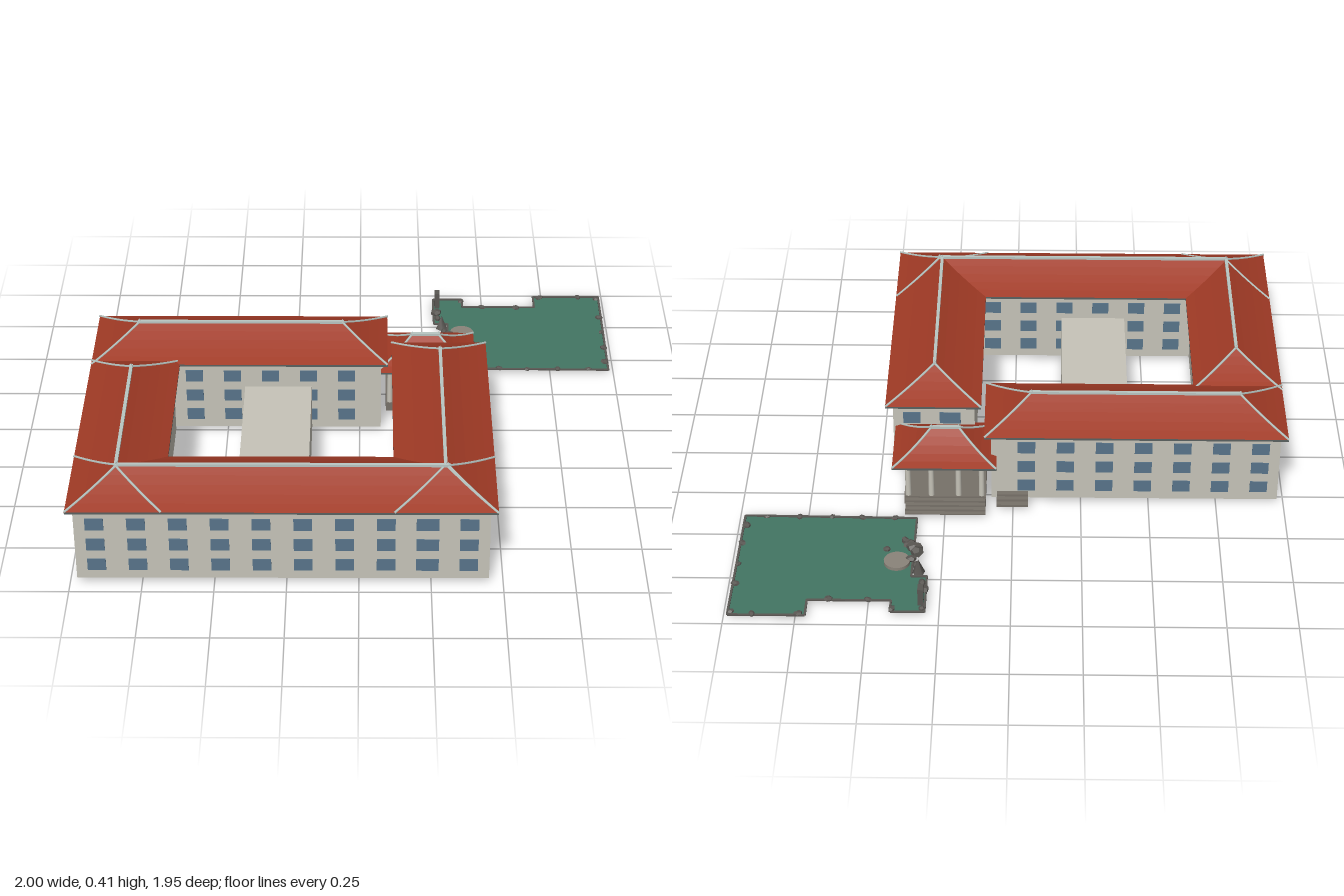
import * as THREE from 'three';

const mat = (name, color, side = THREE.FrontSide) => {
  const m = new THREE.MeshStandardMaterial({ color, side });
  m.name = name;
  return m;
};

export function createModel() {
  const M = {
    wall: mat('plaster', 0xc6c3b8, THREE.DoubleSide),
    roof: mat('redTiles', 0xa03a25, THREE.DoubleSide),
    ridge: mat('paleRidge', 0xb9c6c2),
    eave: mat('eaveTrim', 0x59605f),
    glass: mat('windowGlass', 0x58748a),
    stone: mat('paving', 0x777169),
    green: mat('lawn', 0x437563, THREE.DoubleSide),
    rock: mat('rock', 0x5a5753),
    disc: mat('tableStone', 0x8a847a),
  };
  const root = new THREE.Group();
  root.name = 'courtyardBuilding';

  const add = (parent, name, geo, material, x = 0, y = 0, z = 0) => {
    const m = new THREE.Mesh(geo, material);
    m.name = name;
    m.position.set(x, y, z);
    parent.add(m);
    return m;
  };
  // box given by its limits
  const box = (parent, name, material, x0, x1, y0, y1, z0, z1) =>
    add(parent, name, new THREE.BoxGeometry(x1 - x0, y1 - y0, z1 - z0), material,
      (x0 + x1) / 2, (y0 + y1) / 2, (z0 + z1) / 2);

  // concave hip roof over a rectangle, with ridge, hips and eave trim
  function hipRoof(name, x0, x1, z0, z1, y0, y1, inset, curve = 0.25) {
    const g = new THREE.Group();
    g.name = name;
    root.add(g);
    const cx = (x0 + x1) / 2, cz = (z0 + z1) / 2, hx = (x1 - x0) / 2, hz = (z1 - z0) / 2;
    const alongX = hx > hz, N = 5;
    const ix = alongX ? inset : hx, iz = alongX ? hz : inset;
    const at = (i, t) => {
      const sx = [-1, 1, 1, -1][i], sz = [1, 1, -1, -1][i];
      const h = t * (1 - curve) + t * t * curve;
      return new THREE.Vector3(cx + sx * (hx - ix * t), y0 + (y1 - y0) * h, cz + sz * (hz - iz * t));
    };
    const pos = [];
    for (let i = 0; i < 4; i++) {
      for (let k = 0; k < N; k++) {
        const j = (i + 1) % 4;
        const a = at(i, k / N), b = at(j, k / N), c = at(j, (k + 1) / N), d = at(i, (k + 1) / N);
        for (const v of [a, b, c, a, c, d]) pos.push(v.x, v.y, v.z);
      }
    }
    const geo = new THREE.BufferGeometry();
    geo.setAttribute('position', new THREE.Float32BufferAttribute(pos, 3));
    geo.computeVertexNormals();
    add(g, 'tiles', geo, M.roof);
    for (let i = 0; i < 4; i++) {
      const pts = [];
      for (let k = 0; k <= N; k++) pts.push(at(i, k / N));
      add(g, 'hipRib', new THREE.TubeGeometry(new THREE.CatmullRomCurve3(pts), 8, 0.005, 5), M.ridge);
    }
    const a = at(0, 1), c = at(2, 1), w = 0.006;
    box(g, 'ridgeCap', M.ridge, a.x - w, c.x + w, y1 - 0.006, y1 + 0.006, c.z - w, a.z + w);
    for (const p of [a, c]) add(g, 'finial', new THREE.ConeGeometry(0.007, 0.014, 5), M.ridge, p.x, y1 + 0.008, p.z);
    const b = y0 - 0.008, t = 0.008;
    box(g, 'eave', M.eave, x0, x1, b, y0, z1 - t, z1);
    box(g, 'eave', M.eave, x0, x1, b, y0, z0, z0 + t);
    box(g, 'eave', M.eave, x0, x0 + t, b, y0, z0, z1);
    box(g, 'eave', M.eave, x1 - t, x1, b, y0, z0, z1);
  }

  // open wall shell: four thin walls without floor or ceiling
  function shell(name, x0, x1, z0, z1, y0 = 0.02, y1 = 0.315) {
    const g = new THREE.Group();
    g.name = name;
    root.add(g);
    const h = y1 - y0, y = (y0 + y1) / 2;
    for (const z of [z0, z1]) add(g, 'wall', new THREE.PlaneGeometry(x1 - x0, h), M.wall, (x0 + x1) / 2, y, z);
    for (const x of [x0, x1]) {
      add(g, 'wall', new THREE.PlaneGeometry(z1 - z0, h), M.wall, x, y, (z0 + z1) / 2).rotation.y = Math.PI / 2;
    }
  }

  // three storeys of windows, visible on both sides of the wall
  function windows(z, first, last) {
    for (let i = first; i <= last; i++) {
      const wide = i === 8 ? 0.039 : 0.032, x = -0.904 + i * 0.1425;
      for (const y of [0.078, 0.163, 0.248]) box(root, 'window', M.glass, x - wide, x + wide, y - 0.024, y + 0.024, z - 0.003, z + 0.003);
    }
  }

  // four wings
  shell('frontWing', -0.975, 0.45, 0.655, 0.945);
  shell('westWing', -0.973, -0.695, 0.025, 0.943);
  shell('eastWing', 0.145, 0.448, -0.105, 0.943);
  shell('backWing', -0.975, 0.08, -0.29, 0.005);
  windows(0.945, 0, 9);
  windows(0.655, 0, 9);
  windows(0.005, 0, 6);
  windows(-0.29, 0, 6);
  windows(-0.105, 8, 9);

  hipRoof('frontRoof', -1, 0.475, 0.63, 0.965, 0.312, 0.392, 0.168);
  hipRoof('westRoof', -1, -0.67, 0, 0.965, 0.312, 0.39, 0.165);
  hipRoof('eastRoof', 0.12, 0.475, -0.13, 0.965, 0.312, 0.392, 0.172);
  hipRoof('backRoof', -1, 0.105, -0.32, 0.03, 0.312, 0.392, 0.17);

  // passage across the courtyard
  shell('passageWalls', -0.43, -0.18, 0.005, 0.655, 0.02, 0.2);
  box(root, 'passageRoof', M.wall, -0.43, -0.18, 0.196, 0.2, 0.005, 0.655);

  // entrance pavilion
  hipRoof('pavilionRoof', 0.06, 0.44, -0.37, -0.08, 0.208, 0.29, 0.14, 0.45);
  box(root, 'pavilionFloor', M.stone, 0.1, 0.4, 0.02, 0.055, -0.335, -0.105);
  box(root, 'pavilionBeam', M.wall, 0.1, 0.4, 0.185, 0.207, -0.332, -0.312);
  for (const s of [0.1, 0.38]) box(root, 'sideBeam', M.wall, s, s + 0.02, 0.185, 0.207, -0.33, -0.105);
  for (const x of [0.115, 0.2, 0.3, 0.385]) {
    add(root, 'column', new THREE.CylinderGeometry(0.01, 0.011, 0.14, 12), M.wall, x, 0.125, -0.322);
  }
  for (const x of [0.115, 0.385]) add(root, 'rearColumn', new THREE.CylinderGeometry(0.01, 0.011, 0.14, 12), M.wall, x, 0.125, -0.12);
  for (let i = 0; i < 4; i++) {
    box(root, 'entranceStep', M.stone, 0.1, 0.395, 0.02, 0.048 - i * 0.008, -0.336 - (i + 1) * 0.016, -0.335 - i * 0.016);
  }
  for (let i = 0; i < 3; i++) {
    box(root, 'sideStep', M.stone, -0.055, 0.06, 0.02, 0.048 - i * 0.009, -0.29 - (i + 1) * 0.02, -0.29 - i * 0.02);
  }

  // garden lawn with a kerb
  const outline = [[0.3, -0.945], [0.42, -0.945], [0.42, -0.885], [0.715, -0.885], [0.715, -0.968], [0.985, -0.968],
    [0.98, -0.407], [0.35, -0.415], [0.355, -0.75], [0.3, -0.75]];
  const lawn = new THREE.ShapeGeometry(new THREE.Shape(outline.map(([x, z]) => new THREE.Vector2(x, -z))));
  add(root, 'lawn', lawn, M.green, 0, 0.013, 0).rotation.x = -Math.PI / 2;
  outline.forEach(([x, z], i) => {
    const [u, v] = outline[(i + 1) % outline.length];
    const kerb = add(root, 'kerb', new THREE.BoxGeometry(Math.hypot(u - x, v - z), 0.005, 0.008), M.rock, (x + u) / 2, 0.015, (z + v) / 2);
    kerb.rotation.y = -Math.atan2(v - z, u - x);
  });

  // low stones: x, z, radius, height
  const stones = [
    [0.31, -0.93, 0.012, 0.016], [0.415, -0.93, 0.015, 0.014], [0.5, -0.883, 0.014, 0.014], [0.64, -0.88, 0.016, 0.014],
    [0.74, -0.96, 0.016, 0.014], [0.9, -0.964, 0.014, 0.014], [0.975, -0.95, 0.013, 0.014], [0.975, -0.8, 0.015, 0.016],
    [0.975, -0.69, 0.011, 0.012], [0.975, -0.57, 0.015, 0.014], [0.97, -0.465, 0.017, 0.014], [0.9, -0.412, 0.012, 0.012],
    [0.78, -0.412, 0.014, 0.012], [0.66, -0.41, 0.012, 0.012], [0.55, -0.415, 0.014, 0.014], [0.43, -0.415, 0.014, 0.012],
    [0.31, -0.83, 0.022, 0.025], [0.315, -0.79, 0.016, 0.02], [0.35, -0.6, 0.028, 0.035], [0.34, -0.63, 0.024, 0.04],
    [0.37, -0.575, 0.022, 0.025], [0.385, -0.56, 0.016, 0.03], [0.45, -0.6, 0.014, 0.015], [0.36, -0.66, 0.018, 0.025],
    [0.34, -0.69, 0.016, 0.018],
  ];
  stones.forEach(([x, z, r, h], i) => {
    const s = add(root, 'stone', new THREE.DodecahedronGeometry(1, 0).toNonIndexed(), M.rock, x, 0.01 + h / 2, z);
    s.scale.set(r * (1 + 0.2 * Math.sin(i)), h / 2, r * (1 - 0.2 * Math.sin(i)));
    s.rotation.y = i * 1.3;
  });
  add(root, 'peakRock', new THREE.ConeGeometry(0.024, 0.058, 5).toNonIndexed(), M.rock, 0.33, 0.041, -0.725);
  box(root, 'standingStone', M.rock, 0.305, 0.325, 0.012, 0.083, -0.91, -0.877);

  // round stone table
  add(root, 'roundTable', new THREE.CylinderGeometry(0.047, 0.047, 0.026, 20), M.disc, 0.41, 0.013, -0.672);
  return root;
}
